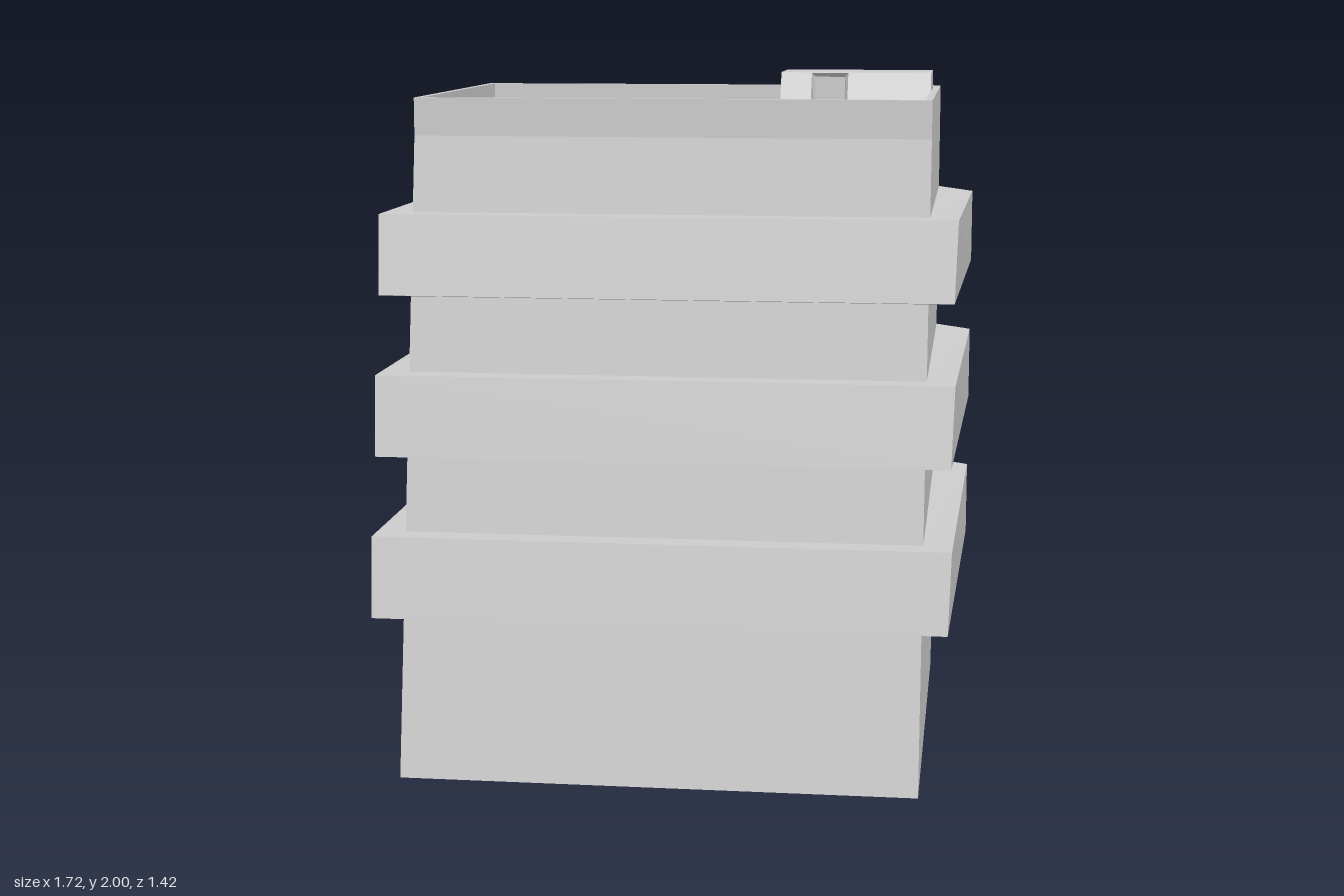
import * as THREE from 'three';

const BACK = -0.71, SLOPE_TOP = 1.84, TOP = 1.95, ROOF = 1.82;

// Depth of the leaning front wall at a given height
const frontZ = (y) => 0.71 - (0.325 * Math.min(y, SLOPE_TOP)) / SLOPE_TOP;

// Joins rings of four points with flat faces and caps both ends
function loft(rings, closed) {
  const pos = [];
  const quad = (a, b, c, d) => pos.push(...a, ...b, ...c, ...a, ...c, ...d);
  for (let r = 0; r < rings.length - 1; r++) {
    const p = rings[r], q = rings[r + 1];
    for (let i = 0; i < (closed ? 4 : 3); i++) {
      const j = (i + 1) % 4;
      quad(p[i], p[j], q[j], q[i]);
    }
  }
  quad(...[...rings[0]].reverse());
  quad(...rings[rings.length - 1]);
  const geometry = new THREE.BufferGeometry();
  geometry.setAttribute('position', new THREE.Float32BufferAttribute(pos, 3));
  geometry.computeVertexNormals();
  return geometry;
}

// Horizontal rectangle, counter-clockwise from above
const rect = (x, y, front, back) => [[-x, y, front], [x, y, front], [x, y, back], [-x, y, back]];

// Upright outline: right side up, across the top, left side down
const outline = (x0, x1, y0, y1, z0, z1) => [[x1, y0, z0], [x1, y1, z1], [x0, y1, z1], [x0, y0, z0]];

export function createModel() {
  const model = new THREE.Group();
  const material = new THREE.MeshStandardMaterial({ color: 0xcccccc, flatShading: true });
  const add = (name, geometry) => {
    const mesh = new THREE.Mesh(geometry, material);
    mesh.name = name;
    model.add(mesh);
  };

  // Tower with leaning front, parapet and sunken roof
  add('tower', loft([
    rect(0.75, 0, frontZ(0), BACK),
    rect(0.75, SLOPE_TOP, frontZ(SLOPE_TOP), BACK),
    rect(0.75, TOP, frontZ(TOP), BACK),
    rect(0.73, TOP, 0.36, -0.69),
    rect(0.73, ROOF, 0.36, -0.69),
  ], true));

  // Three balcony bands wrapping the sides and front, flush at the back
  for (let i = 0; i < 3; i++) {
    const y0 = 0.463 + 0.458 * i, y1 = y0 + 0.242;
    const z = 0.71 - 0.08 * i;
    const backEnd = (s) => [
      [s * 0.75, y0, BACK], [s * 0.86, y0, BACK], [s * 0.86, y1 - 0.015, BACK], [s * 0.75, y1, BACK],
    ];
    const corner = (s) => [
      [s * 0.75, y0, frontZ(y0)], [s * 0.825, y0 + 0.012, z], [s * 0.832, y1, z - 0.048], [s * 0.75, y1, frontZ(y1)],
    ];
    add('balconyBand' + (i + 1), loft([backEnd(1), corner(1), corner(-1), backEnd(-1)], false));
  }

  // Roof stair house with sloped front and recessed doorway
  add('stairHouse', loft([
    outline(0.25, 0.725, ROOF, 2, -0.69, -0.69),
    outline(0.25, 0.725, ROOF, 2, -0.36, -0.445),
    outline(0.347, 0.463, ROOF, 1.997, -0.36, -0.444),
    outline(0.358, 0.452, ROOF, 1.985, -0.46, -0.46),
  ], false));

  return model;
}
